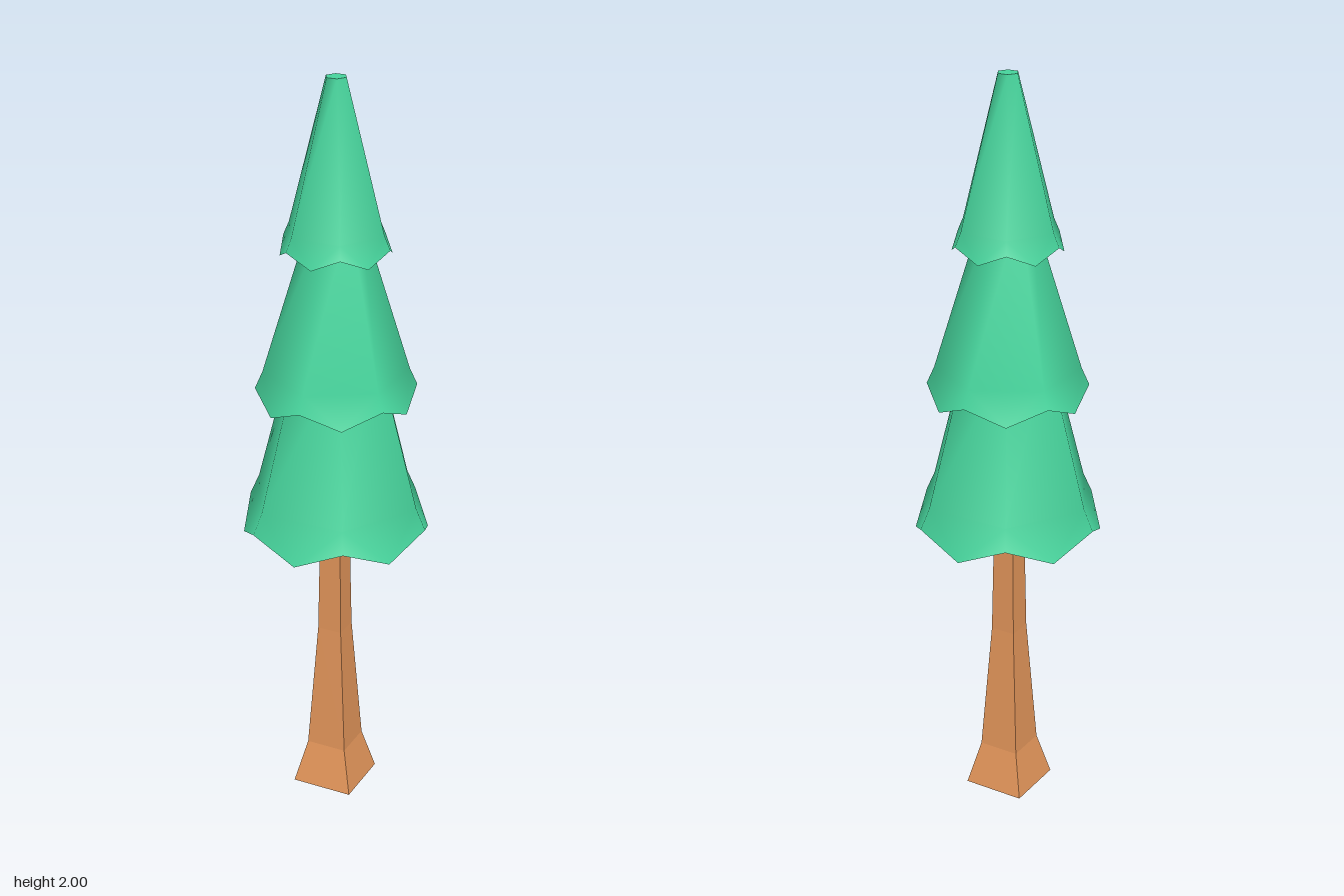
import * as THREE from 'three';

const SIDES = 6;
const leafMaterial = new THREE.MeshStandardMaterial({ color: 0x46d49c, side: THREE.DoubleSide });
const barkMaterial = new THREE.MeshStandardMaterial({ color: 0xe2955a, flatShading: true });

// Six-sided cone with a flared zigzag skirt: corners end high, the points between them hang low
function tierGeometry({ twist, top, ring, rim, tip }) {
  const positions = [], index = [];
  const addLoop = ([r, y], shift = 0) => {
    const start = positions.length / 3;
    for (let i = 0; i < SIDES; i++) {
      const a = twist + ((i + shift) / SIDES) * Math.PI * 2;
      positions.push(r * Math.cos(a), y, r * Math.sin(a));
    }
    return (i) => start + (i % SIDES);
  };
  const T = addLoop(top), C = addLoop(ring), R = addLoop(rim), M = addLoop(tip, 0.5);
  for (let i = 0; i < SIDES; i++) {
    index.push(C(i), T(i), C(i + 1), C(i + 1), T(i), T(i + 1));
    index.push(R(i), C(i), M(i), C(i), C(i + 1), M(i), C(i + 1), R(i + 1), M(i));
  }
  const geometry = new THREE.BufferGeometry();
  geometry.setAttribute('position', new THREE.Float32BufferAttribute(positions, 3));
  geometry.setIndex(index);
  geometry.computeVertexNormals();
  return geometry;
}

// Flat hexagon facing up (facing = 1) or down (facing = -1)
function cap([r, y], twist, facing, name) {
  const geometry = new THREE.CircleGeometry(r, SIDES, twist).rotateX(-facing * Math.PI / 2);
  const mesh = new THREE.Mesh(geometry, leafMaterial);
  mesh.position.y = y;
  mesh.name = name;
  return mesh;
}

export function createModel() {
  const tree = new THREE.Group();
  tree.name = 'pineTree';

  // Square trunk with a flared foot
  const profile = [[0, 0], [0.085, 0], [0.056, 0.12], [0.034, 0.48], [0.029, 0.8], [0.029, 0.9], [0, 0.9]]
    .map(([half, y]) => new THREE.Vector2(half * Math.SQRT2, y));
  const trunk = new THREE.Mesh(new THREE.LatheGeometry(profile, 4, Math.PI / 4), barkMaterial);
  trunk.position.x = -0.004;
  trunk.name = 'trunk';
  tree.add(trunk);

  // Foliage tiers as [radius, height]; the middle one is turned half a side
  const tiers = [
    { name: 'lowerFoliage', twist: 0, top: [0.118, 1.3], ring: [0.232, 0.885], rim: [0.258, 0.83], tip: [0.246, 0.777] },
    { name: 'middleFoliage', twist: Math.PI / 6, top: [0.06, 1.66], ring: [0.19, 1.235], rim: [0.21, 1.19], tip: [0.2, 1.148] },
    { name: 'upperFoliage', twist: 0, top: [0.028, 2], ring: [0.133, 1.615], rim: [0.149, 1.58], tip: [0.142, 1.548] },
  ];
  for (const tier of tiers) {
    const group = new THREE.Group();
    group.name = tier.name;
    const skirt = new THREE.Mesh(tierGeometry(tier), leafMaterial);
    skirt.name = 'skirt';
    group.add(skirt, cap(tier.top, tier.twist, 1, 'topCap'), cap(tier.ring, tier.twist, -1, 'underside'));
    tree.add(group);
  }
  return tree;
}
